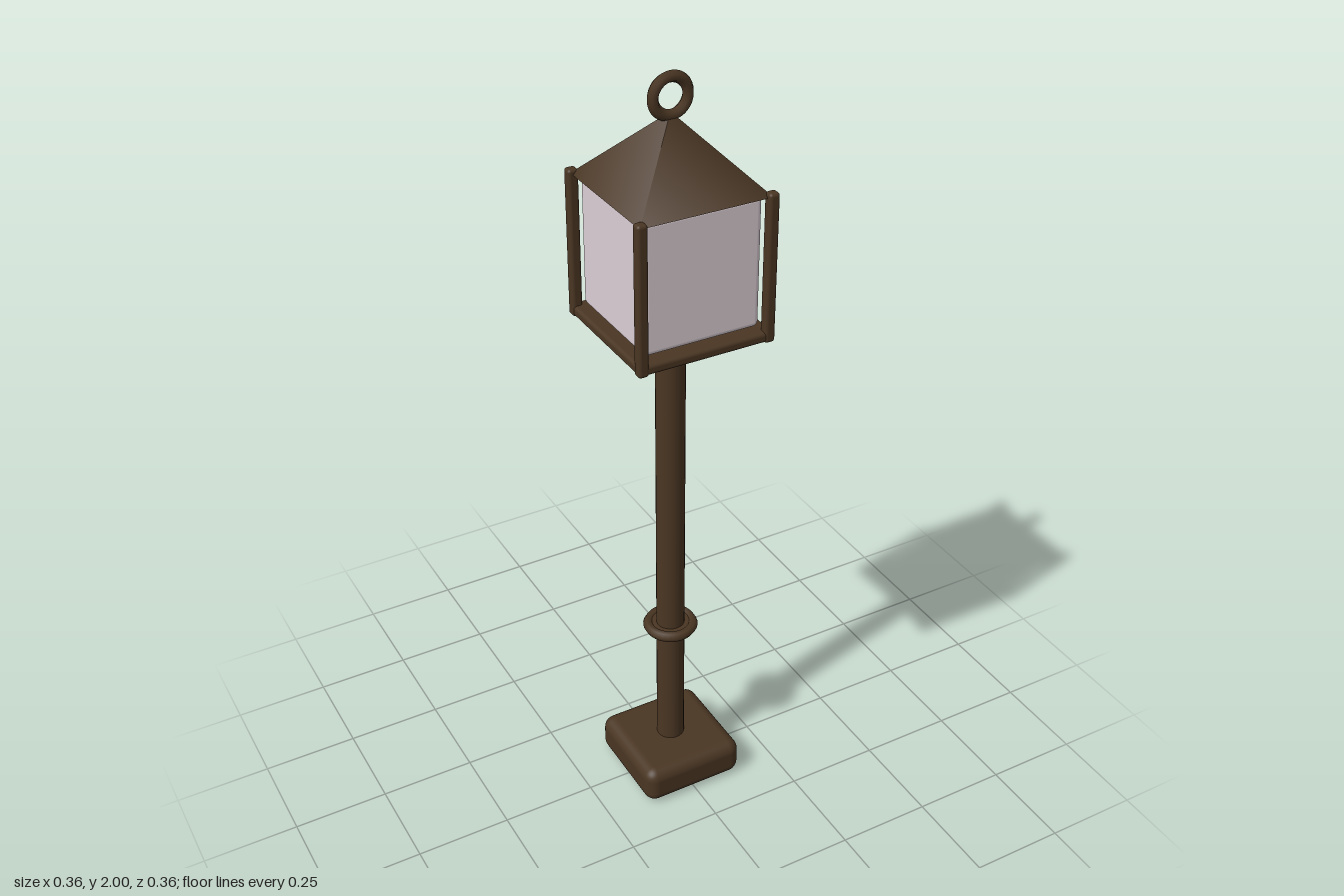
import * as THREE from 'three';
import { RoundedBoxGeometry } from 'three/addons/geometries/RoundedBoxGeometry.js';

export function createModel() {
  const group = new THREE.Group();
  const bronze = new THREE.MeshStandardMaterial({ color: 0x4a3623 });
  bronze.name = 'dark bronze';
  const glass = new THREE.MeshStandardMaterial({ color: 0xdccfd5 });
  glass.name = 'frosted glass';

  const add = (name, geometry, material, x, y, z) => {
    const mesh = new THREE.Mesh(geometry, material);
    mesh.name = name;
    mesh.position.set(x, y, z);
    group.add(mesh);
    return mesh;
  };

  // Foot, pole and collar
  add('base', new RoundedBoxGeometry(0.285, 0.105, 0.285, 4, 0.032), bronze, 0, 0.0525, 0);
  add('pole', new THREE.CylinderGeometry(0.037, 0.037, 1.3, 24), bronze, 0, 0.74, 0);
  const collar = add('collar', new THREE.TorusGeometry(0.058, 0.014, 6, 32), bronze, 0, 0.48, 0);
  collar.rotation.x = Math.PI / 2;
  add('collarDisc', new THREE.CylinderGeometry(0.058, 0.058, 0.018, 32), bronze, 0, 0.48, 0);

  // Lantern floor and glass
  add('lanternFloor', new RoundedBoxGeometry(0.352, 0.026, 0.352, 3, 0.009), bronze, 0, 1.386, 0);
  add('lanternGlass', new RoundedBoxGeometry(0.302, 0.33, 0.302, 4, 0.014), glass, 0, 1.57, 0);

  // Corner posts
  for (const sx of [-1, 1]) {
    for (const sz of [-1, 1]) {
      add('cornerPost', new RoundedBoxGeometry(0.027, 0.375, 0.027, 3, 0.008),
        bronze, sx * 0.165, 1.5585, sz * 0.165);
    }
  }

  // Pyramid roof with softly blended hips
  const roof = new THREE.ConeGeometry(0.167 * Math.SQRT2, 0.173, 4);
  roof.rotateY(Math.PI / 4);
  add('roof', roof, bronze, 0, 1.8195, 0);

  // Hanging ring
  add('topRing', new THREE.TorusGeometry(0.044, 0.014, 6, 32), bronze, 0, 1.942, 0);

  return group;
}
